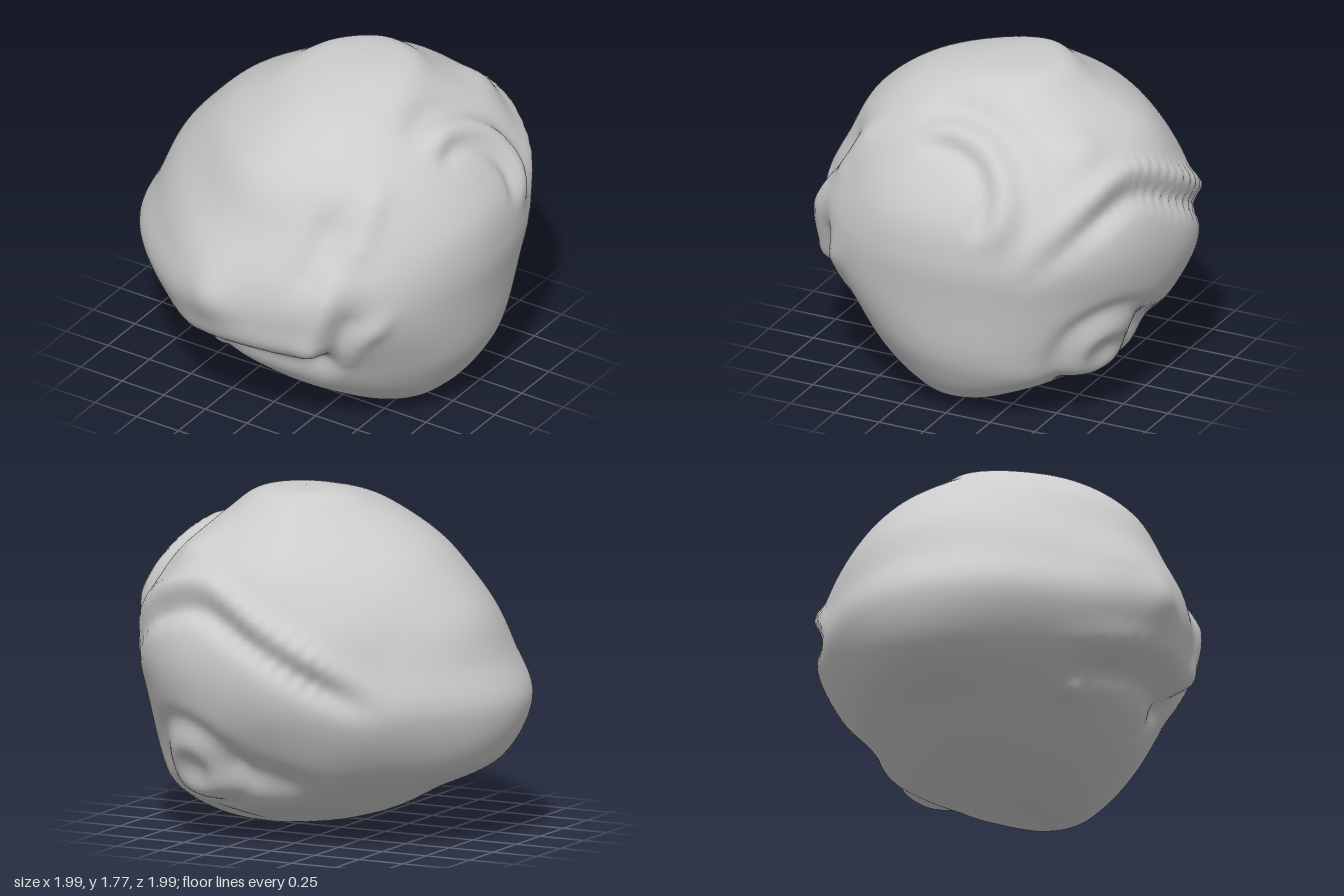
import * as THREE from 'three';

const CENTRE = new THREE.Vector3(0, 0.88, 0);

// Direction from the centre: heading in degrees (0 front, 90 left side, 180 back) and elevation
const heading = (az, el) => new THREE.Vector3().setFromSphericalCoords(
  1, THREE.MathUtils.degToRad(90 - el), THREE.MathUtils.degToRad(az));

// Horizontal sections from base to crown: y, then the x range and the z range
const SECTIONS = [
  [0, 0.36, 0.36, 0.07, 0.07],
  [0.03, 0.05, 0.6, -0.18, 0.24],
  [0.12, -0.28, 0.74, -0.48, 0.42],
  [0.25, -0.55, 0.83, -0.7, 0.6],
  [0.42, -0.87, 0.9, -0.81, 0.76],
  [0.7, -1, 0.955, -0.95, 0.95],
  [0.95, -0.91, 0.985, -0.985, 0.945],
  [1.2, -0.8, 0.95, -0.92, 0.81],
  [1.45, -0.58, 0.78, -0.78, 0.67],
  [1.65, -0.28, 0.53, -0.5, 0.41],
  [1.75, -0.1, 0.36, -0.35, 0.07],
  [1.77, 0.12, 0.12, -0.15, -0.15],
];

const bell = (d, w) => Math.exp(-(d * d) / (w * w));

// Rounded bump or hollow at a heading
function bump(height, width, az, el) {
  const middle = heading(az, el);
  return (dir) => height * bell(dir.distanceTo(middle), width);
}

// Ridge (or furrow, if the height is negative) along a curve, tapering at both ends
function stroke(height, width, path) {
  const samples = new THREE.CatmullRomCurve3(path.map(([az, el]) => heading(az, el))).getPoints(28);
  const taper = samples.map((_, i) => Math.min(1, (4 * i) / 28, 4 * (1 - i / 28)));
  return (dir) => height * samples.reduce(
    (best, s, i) => Math.max(best, taper[i] * bell(dir.distanceTo(s), width)), 0);
}

// Ridge with a furrow running below it
function ledge(height, width, drop, path) {
  const ridge = stroke(height, width, path);
  const furrow = stroke(-1.2 * height, width, path.map(([az, el]) => [az, el - drop]));
  return (dir) => ridge(dir) + furrow(dir);
}

// Raised (or sunken) ring around a heading
function ring(height, radius, width, az, el) {
  const middle = heading(az, el);
  return (dir) => height * bell(dir.distanceTo(middle) - radius, width);
}

// Concentric ridge and furrows, fading out away from the upper back
function curl(az, el) {
  const middle = heading(az, el);
  const rings = [ring(0.03, 0.38, 0.06, az, el), ring(-0.035, 0.52, 0.08, az, el), ring(-0.03, 0.28, 0.05, az, el)];
  return (dir) => {
    const towards = (dir.y - middle.y - (dir.z - middle.z)) / (0.01 + dir.distanceTo(middle));
    const fade = THREE.MathUtils.smoothstep(towards, 0.1, 0.9);
    return fade * rings.reduce((h, f) => h + f(dir), 0);
  };
}

const RELIEF = [
  // overhanging front lip
  ledge(0.033, 0.1, 11, [[-42, -26], [-19, -22], [3, -18], [28, -18], [38, -18]]),
  // broken ridges and hollows up the front left corner
  stroke(0.035, 0.07, [[25, -22], [28, -14], [31, -2], [35, 14]]),
  stroke(-0.045, 0.09, [[27, -40], [37, -16], [42, 2]]),
  stroke(0.03, 0.07, [[34, -38], [42, -15], [52, -4]]),
  stroke(-0.035, 0.1, [[22, 2], [30, 16], [38, 32]]),
  stroke(0.025, 0.08, [[40, 12], [46, 25], [54, 38]]),
  // nose and small knob on the front
  bump(0.035, 0.13, -5, -3),
  bump(0.025, 0.07, -27, -42),
  // curled ridge high on the left side, and the bump behind it
  curl(90, 22),
  bump(0.03, 0.12, 142, 37),
  // ledge sweeping down across the back, and a hollow beneath
  ledge(0.038, 0.065, 8, [[118, 6], [139, 22], [157, 28], [180, 19], [204, 6], [220, -2]]),
  stroke(-0.045, 0.12, [[160, -26], [175, -33], [197, -38]]),
  // round boss low at the back left, ringed by a furrow, with a broad hollow under it
  ring(0.03, 0.13, 0.07, 149, -30),
  ring(-0.02, 0.28, 0.06, 149, -30),
  bump(-0.03, 0.2, 128, -52),
  // gentle overall lumpiness
  ({ x, y, z }) => 0.007 * (1 - y * y) * Math.sin(7 * x + 2 * y) * Math.sin(6 * y - 3 * z + 1),
];

// Fullness of the rounded corners between the four sides
function fullness(co, si) {
  if (co > 0) return si < 0 ? 0.045 : 0;
  return si < 0 ? -0.07 : -0.055;
}

// Smooth interpolation through the sections, t from 0 at the base to 1 at the crown
function sectionAt(t) {
  const last = SECTIONS.length - 1;
  const i = Math.min(Math.floor(t * last), last - 1), u = t * last - i;
  const at = (k) => SECTIONS[THREE.MathUtils.clamp(k, 0, last)];
  return at(i).map((b, c) => {
    const a = at(i - 1)[c], d = at(i + 1)[c], e = at(i + 2)[c];
    return b + 0.5 * u * (d - a + u * (2 * a - 5 * b + 4 * d - e + u * (3 * (b - d) + e - a)));
  });
}

function boulderGeometry(rows, cols) {
  const pos = [], index = [];
  const p = new THREE.Vector3(), dir = new THREE.Vector3();
  for (let r = 0; r <= rows; r++) {
    const [y, x0, x1, z0, z1] = sectionAt(r / rows);
    for (let c = 0; c < cols; c++) {
      const a = (c / cols) * Math.PI * 2;
      const co = Math.cos(a), si = Math.sin(a);
      const full = 1 + fullness(co, si) * Math.sin(2 * a) ** 2;
      p.set((x0 + x1 + co * full * (x1 - x0)) / 2, y, (z0 + z1 + si * full * (z1 - z0)) / 2);
      dir.subVectors(p, CENTRE).normalize();
      p.addScaledVector(dir, RELIEF.reduce((h, f) => h + f(dir), 0));
      pos.push(p.x, p.y, p.z);
      if (r < rows) {
        const i = r * cols + c, j = r * cols + (c + 1) % cols;
        index.push(i, i + cols, j, j, i + cols, j + cols);
      }
    }
  }
  const geometry = new THREE.BufferGeometry();
  geometry.setAttribute('position', new THREE.Float32BufferAttribute(pos, 3));
  geometry.setIndex(index);
  geometry.computeVertexNormals();
  return geometry;
}

export function createModel() {
  const group = new THREE.Group();
  group.name = 'boulder';
  const rock = new THREE.Mesh(boulderGeometry(132, 180), new THREE.MeshStandardMaterial({ color: 0xcccccc }));
  rock.name = 'rockBody';
  group.add(rock);
  return group;
}
